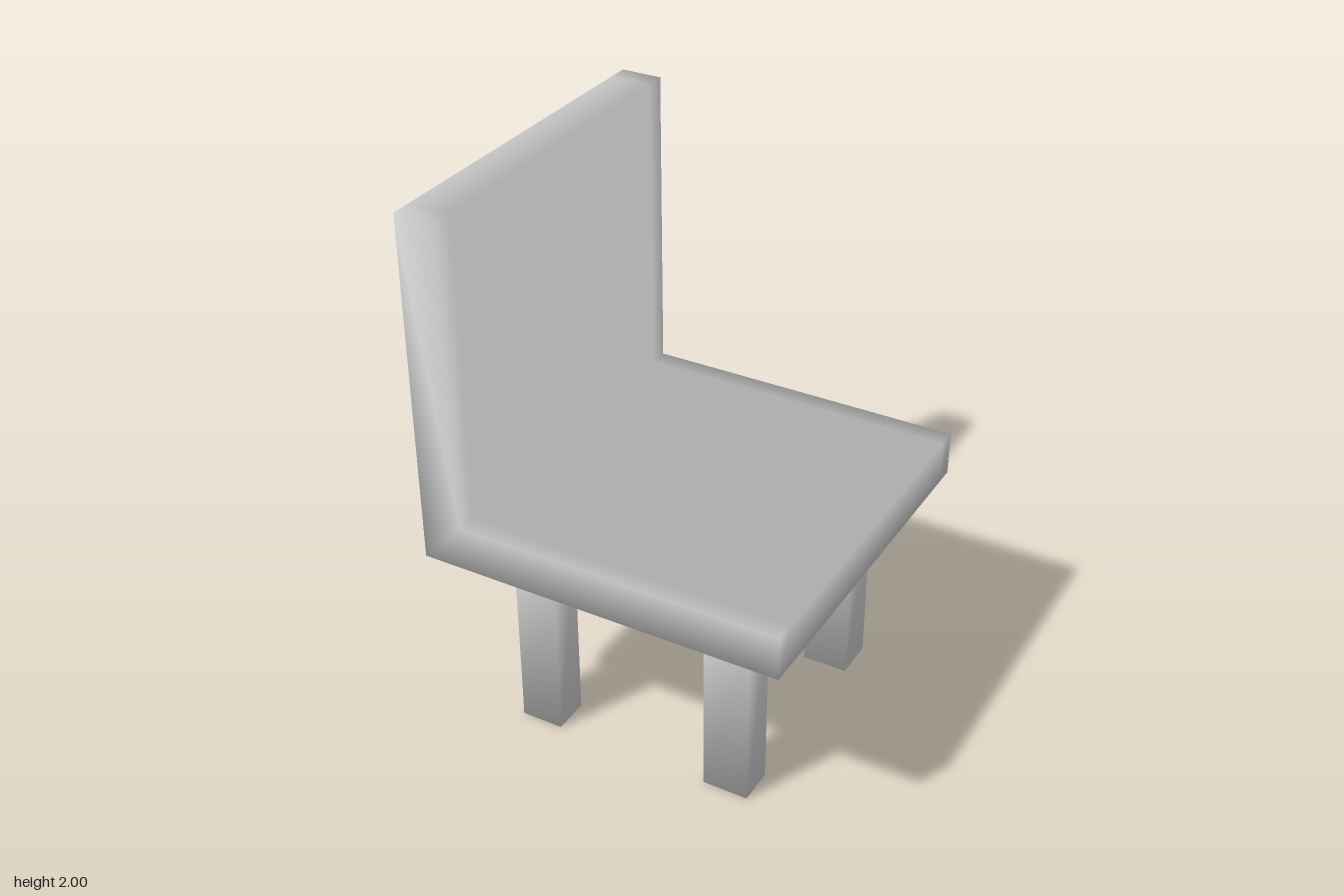
import * as THREE from 'three';

const material = new THREE.MeshStandardMaterial({ color: 0xcccccc });

// Give all corners at one position the even average of the flat faces meeting
// there, so the shading runs softly round every edge
function soften(source) {
  const geometry = source.index ? source.toNonIndexed() : source;
  const { position, normal } = geometry.attributes;
  const key = (v) => v.toArray().map((n) => Math.round(n * 1000)).join();
  const read = (attribute, i) => new THREE.Vector3().fromBufferAttribute(attribute, i);
  const corners = new Map();
  for (let i = 0; i < position.count; i++) {
    const place = key(read(position, i));
    if (!corners.has(place)) corners.set(place, new Map());
    const facing = read(normal, i);
    corners.get(place).set(key(facing), facing);
  }
  for (let i = 0; i < position.count; i++) {
    const sum = new THREE.Vector3();
    corners.get(key(read(position, i))).forEach((n) => sum.add(n));
    sum.normalize();
    normal.setXYZ(i, sum.x, sum.y, sum.z);
  }
  return geometry;
}

function addMesh(group, name, geometry) {
  const mesh = new THREE.Mesh(soften(geometry), material);
  mesh.name = name;
  group.add(mesh);
}

// Box given by its limits on each axis
function boxBetween([x0, x1], [y0, y1], [z0, z1]) {
  return new THREE.BoxGeometry(x1 - x0, y1 - y0, z1 - z0)
    .translate((x0 + x1) / 2, (y0 + y1) / 2, (z0 + z1) / 2);
}

export function createModel() {
  const chair = new THREE.Group();
  chair.name = 'chair';

  // Seat and backrest: one L-shaped profile drawn across the width, with
  // enough steps to keep the soft shading close to both ends
  const profile = [
    [-0.505, 0.91], [-0.505, 2], [-0.655, 2],
    [-0.655, 0.752], [0.655, 0.752], [0.655, 0.91],
  ].map(([x, y]) => new THREE.Vector2(x, y));
  const seat = new THREE.ExtrudeGeometry(new THREE.Shape(profile), {
    depth: 1.31, steps: 18, bevelEnabled: false,
  });
  seat.translate(0, 0, -0.655);
  addMesh(chair, 'seatAndBackrest', seat);

  // Frame plate under the seat; its upper rim blends into the seat's underside,
  // so the hidden top face counts as facing down
  const frame = boxBetween([-0.555, 0.55], [0.698, 0.754], [-0.568, 0.555]);
  const facing = frame.attributes.normal;
  for (let i = 0; i < facing.count; i++) {
    if (facing.getY(i) > 0.5) facing.setY(i, -1);
  }
  addMesh(chair, 'seatFrame', frame);

  // Four legs
  const across = { Right: [-0.45, -0.295], Left: [0.28, 0.447] };
  const along = { front: [0.31, 0.445], back: [-0.478, -0.325] };
  for (const [end, z] of Object.entries(along)) {
    for (const [side, x] of Object.entries(across)) {
      addMesh(chair, `${end}${side}Leg`, boxBetween(x, [0, 0.702], z));
    }
  }
  return chair;
}
